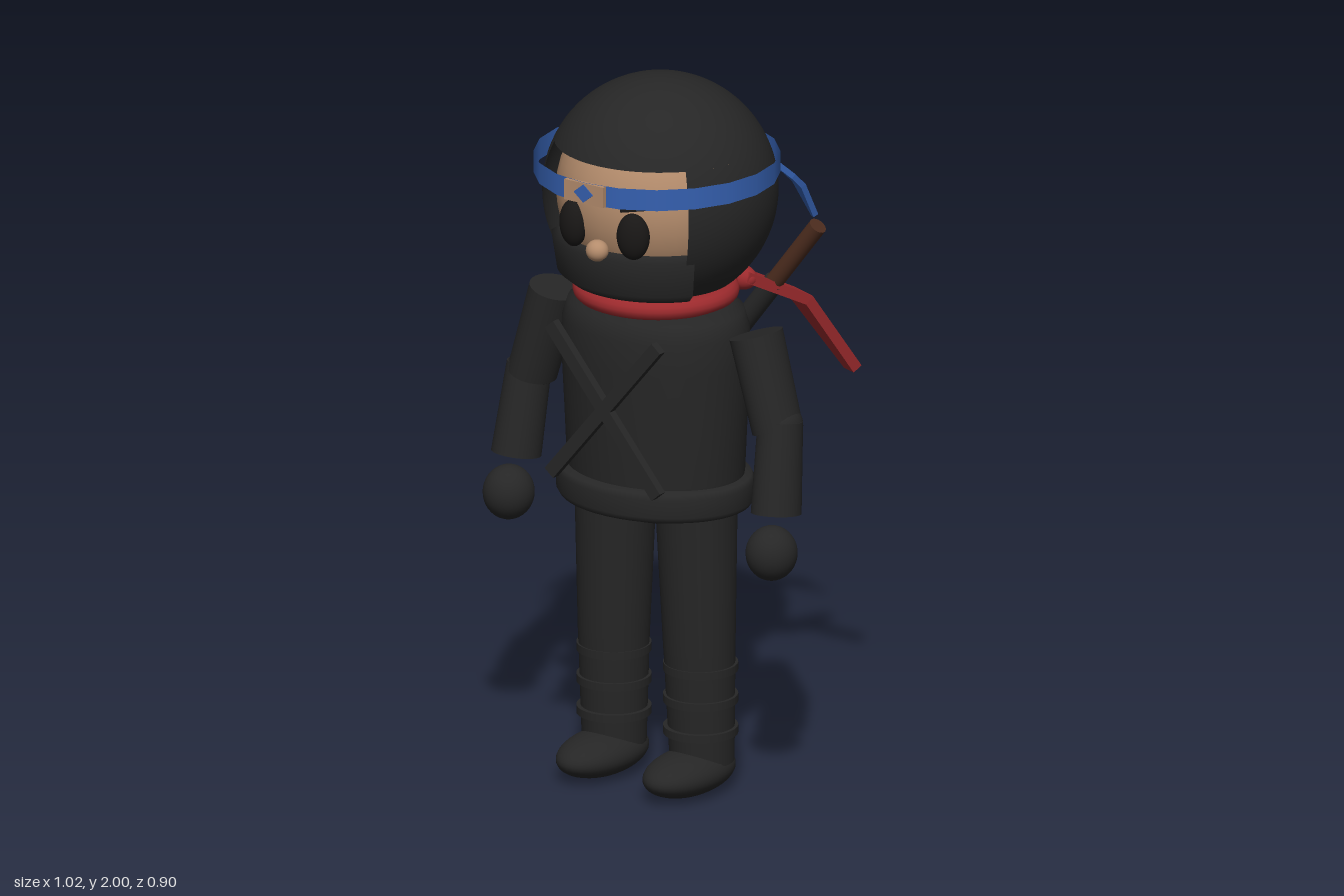
import * as THREE from 'three';

const mat = (name, color, side = THREE.FrontSide) => {
  const m = new THREE.MeshStandardMaterial({ color, side });
  m.name = name;
  return m;
};
const V = (x, y, z) => new THREE.Vector3(x, y, z);

export function createModel() {
  const root = new THREE.Group();
  root.name = 'hoodedFighter';
  const cloth = mat('black cloth', 0x262626, THREE.DoubleSide);
  const eyeDark = mat('eye black', 0x191716);
  const skin = mat('skin', 0xb48c6c);
  const blue = mat('blue band', 0x3560b0, THREE.DoubleSide);
  const red = mat('red scarf', 0x9c2a2d, THREE.DoubleSide);
  const brown = mat('brown grip', 0x4c2c1e);

  const add = (name, geometry, material, x = 0, y = 0, z = 0) => {
    const m = new THREE.Mesh(geometry, material);
    m.name = name;
    m.position.set(x, y, z);
    root.add(m);
    return m;
  };
  const ball = (name, material, pos, rx, ry, rz) =>
    add(name, new THREE.SphereGeometry(1, 32, 20).scale(rx, ry, rz), material, ...pos);
  const lathe = (pairs, ...args) =>
    new THREE.LatheGeometry(pairs.map(([r, y]) => new THREE.Vector2(r, y)), ...args);

  // Round rod from a to b, optionally deeper in z
  const rod = (name, material, a, b, ra, rb, depth = 1) => {
    const dir = b.clone().sub(a);
    const g = new THREE.CylinderGeometry(rb, ra, dir.length(), 28).scale(1, 1, depth);
    const m = add(name, g, material);
    m.position.copy(a).add(b).multiplyScalar(0.5);
    m.quaternion.setFromUnitVectors(V(0, 1, 0), dir.normalize());
    return m;
  };

  // Flat strip swept through points, with a width for each point
  const ribbon = (name, material, pts, widths, thick, across) => {
    const pos = [], idx = [];
    pts.forEach((p, k) => {
      const t = pts[Math.min(k + 1, pts.length - 1)].clone().sub(pts[Math.max(k - 1, 0)]).normalize();
      const n = t.cross(across).normalize();
      for (const [sa, sn] of [[1, 1], [-1, 1], [-1, -1], [1, -1]]) {
        const c = p.clone().addScaledVector(across, sa * widths[k] / 2).addScaledVector(n, sn * thick / 2);
        pos.push(c.x, c.y, c.z);
      }
      if (k === pts.length - 1) return;
      for (let i = 0; i < 4; i++) {
        const a = k * 4 + i, b = k * 4 + (i + 1) % 4;
        idx.push(a, b, b + 4, a, b + 4, a + 4);
      }
    });
    const e = (pts.length - 1) * 4;
    idx.push(2, 1, 0, 3, 2, 0, e, e + 1, e + 2, e, e + 2, e + 3);
    const g = new THREE.BufferGeometry();
    g.setAttribute('position', new THREE.Float32BufferAttribute(pos, 3));
    g.setIndex(idx);
    const flat = g.toNonIndexed();
    flat.computeVertexNormals();
    return add(name, flat, material);
  };

  // Hood: sphere with a face opening at the front
  const HY = 1.68, HZ = 0.09, R = 0.32, open = 0.87, t0 = 1.118, t1 = 2.42;
  const side = Math.PI * 2 - open * 2;
  add('hoodTop', new THREE.SphereGeometry(R, 64, 16, 0, Math.PI * 2, 0, t0), cloth, 0, HY, HZ);
  add('hoodSides', new THREE.SphereGeometry(R, 48, 20, Math.PI / 2 + open, side, t0, t1 - t0), cloth, 0, HY, HZ);
  add('hoodBottom', new THREE.SphereGeometry(R, 64, 8, 0, Math.PI * 2, t1, Math.PI - t1), cloth, 0, HY, HZ);

  // Face, mask and features
  ball('face', skin, [0, HY, HZ], 0.283, 0.283, 0.283);
  add('mask', lathe([[0, 1.43], [0.25, 1.435], [0.28, 1.46], [0.295, 1.56], [0.27, 1.575]],
    28, -0.95, 1.9), cloth, 0, 0, HZ);
  ball('nose', skin, [0, 1.58, 0.38], 0.032, 0.03, 0.03);
  for (const s of [1, -1]) {
    ball('eye', eyeDark, [s * 0.1, 1.632, 0.352], 0.046, 0.066, 0.034).rotation.y = s * 0.33;
    const brow = add('eyebrow', new THREE.BoxGeometry(0.08, 0.018, 0.015), eyeDark, s * 0.105, 1.715, 0.352);
    brow.rotation.set(0, s * 0.38, s * 0.15);
  }

  // Headband with front plate and two loose ends
  add('headband', new THREE.CylinderGeometry(0.334, 0.334, 0.06, 20, 1, true), blue, 0, 1.76, 0.106);
  add('bandPlate', new THREE.BoxGeometry(0.13, 0.058, 0.014), skin, 0, 1.76, 0.436);
  const diamond = new THREE.Shape([[0.032, 0], [0, 0.026], [-0.032, 0], [0, -0.026]]
    .map(([x, y]) => new THREE.Vector2(x, y)));
  add('plateDiamond', new THREE.ExtrudeGeometry(diamond, { depth: 0.003, bevelEnabled: false }),
    blue, 0, 1.76, 0.442);
  for (const s of [1, -1]) {
    ribbon('headbandTail', blue,
      [V(s * 0.05, 1.77, -0.19), V(s * 0.125, 1.635, -0.325), V(s * 0.14, 1.6, -0.355), V(s * 0.16, 1.5, -0.4)],
      [0.07, 0.075, 0.06, 0.015], 0.016, V(0.87, 0, s * 0.5));
  }

  // Scarf
  add('scarf', new THREE.TorusGeometry(0.195, 0.034, 14, 48).rotateX(Math.PI / 2).scale(1, 0.85, 0.97),
    red, 0, 1.402, 0.11);
  ball('scarfKnot', red, [0.13, 1.4, -0.1], 0.05, 0.035, 0.035);
  ribbon('scarfTail', red,
    [V(0.12, 1.41, -0.1), V(0.2, 1.31, -0.28), V(0.265, 1.08, -0.43)],
    [0.11, 0.09, 0.05], 0.03, V(0.93, 0, 0.37));

  // Torso, belt and crossed chest straps
  add('torso', lathe([[0, 0.75], [0.1, 0.755], [0.2, 0.785], [0.248, 0.83], [0.258, 0.9], [0.265, 1.05],
    [0.274, 1.22], [0.272, 1.31], [0.255, 1.36], [0.21, 1.39], [0, 1.4]], 48).scale(1, 1, 0.8), cloth, 0, 0, 0.11);
  add('belt', lathe([[0.25, 0.805], [0.277, 0.81], [0.286, 0.825], [0.286, 0.875], [0.277, 0.89], [0.25, 0.895]],
    48).scale(1, 1, 0.82), cloth, 0, 0, 0.112);
  for (const s of [1, -1]) {
    add('chestStrap', new THREE.BoxGeometry(0.037, 0.555, 0.025), cloth, 0, 1.115, 0.345).rotation.z = s * 0.7;
  }

  // Sword on the back
  const tip = V(-0.285, 0.76, -0.162), pommel = V(0.325, 1.56, -0.188);
  const collar = tip.clone().lerp(pommel, 0.77);
  rod('scabbard', cloth, tip, collar, 0.03, 0.03);
  rod('swordGrip', brown, collar, pommel, 0.025, 0.025);

  for (const s of [1, -1]) {
    // Arm
    rod('upperArm', cloth, V(s * 0.41, 1.08, 0.115), V(s * 0.335, 1.335, 0.11), 0.066, 0.07, 1.15);
    ball('elbow', cloth, [s * 0.415, 1.09, 0.115], 0.064, 0.064, 0.07);
    rod('forearm', cloth, V(s * 0.435, 0.855, 0.155), V(s * 0.42, 1.105, 0.115), 0.067, 0.06, 1.08);
    ball('hand', cloth, [s * 0.44, 0.75, 0.183], 0.07, 0.076, 0.072);

    // Leg with shin wraps and shoe
    rod('thigh', cloth, V(s * 0.143, 0.4, 0.107), V(s * 0.135, 0.82, 0.11), 0.098, 0.112);
    rod('shin', cloth, V(s * 0.147, 0.08, 0.1), V(s * 0.143, 0.41, 0.107), 0.088, 0.098);
    for (const y of [0.17, 0.26, 0.35]) {
      add('shinWrap', new THREE.CylinderGeometry(0.102, 0.102, 0.022, 32), cloth, s * 0.145, y, 0.104);
    }
    ball('shoe', cloth, [s * 0.145, 0.061, 0.157], 0.098, 0.061, 0.168);
  }

  return root;
}
